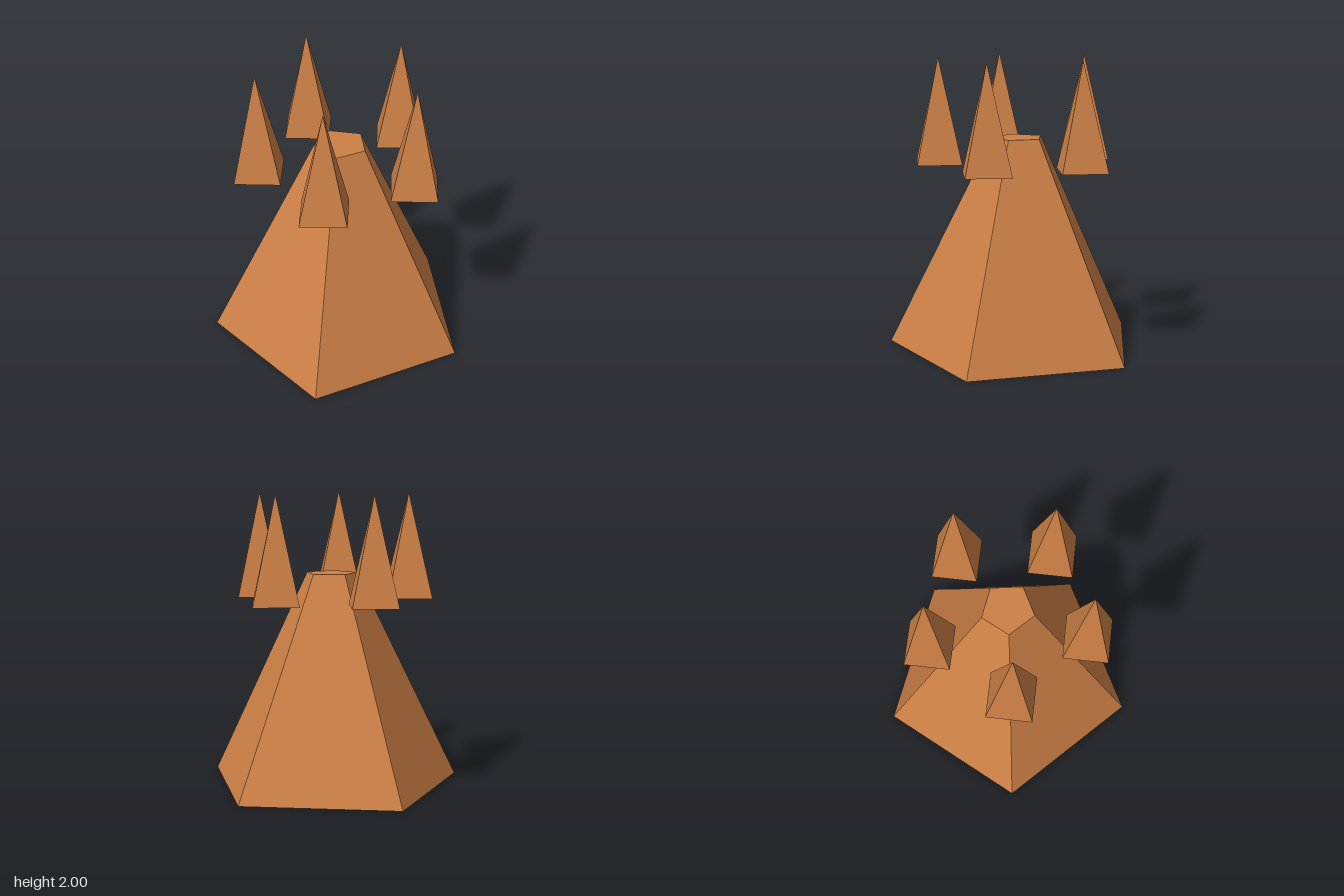
import * as THREE from 'three';

export function createModel() {
  const model = new THREE.Group();
  model.name = 'spikedPyramid';
  const copper = new THREE.MeshStandardMaterial({ name: 'copper orange', color: 0xcd8046 });
  const centreZ = 0.083;

  // Flat-shaded frustum standing at height y
  const addPart = (name, rTop, rBottom, height, sides, start, x, y, z) => {
    const geometry = new THREE.CylinderGeometry(rTop, rBottom, height, sides, 1, false, start).toNonIndexed();
    geometry.computeVertexNormals();
    const mesh = new THREE.Mesh(geometry, copper);
    mesh.name = name;
    mesh.position.set(x, y + height / 2, z);
    model.add(mesh);
  };

  // Five-sided body with one corner to the back
  addPart('body', 0.181, 0.905, 1.455, 5, Math.PI, 0, 0, centreZ);

  // Ring of five floating four-sided spikes, one above each body corner
  const ring = 0.545;
  for (let i = 0; i < 5; i++) {
    const a = Math.PI + (i * Math.PI * 2) / 5;
    addPart(`spike${i + 1}`, 0, 0.215, 0.723, 4, 0, ring * Math.sin(a), 1.277, centreZ + ring * Math.cos(a));
  }
  return model;
}
